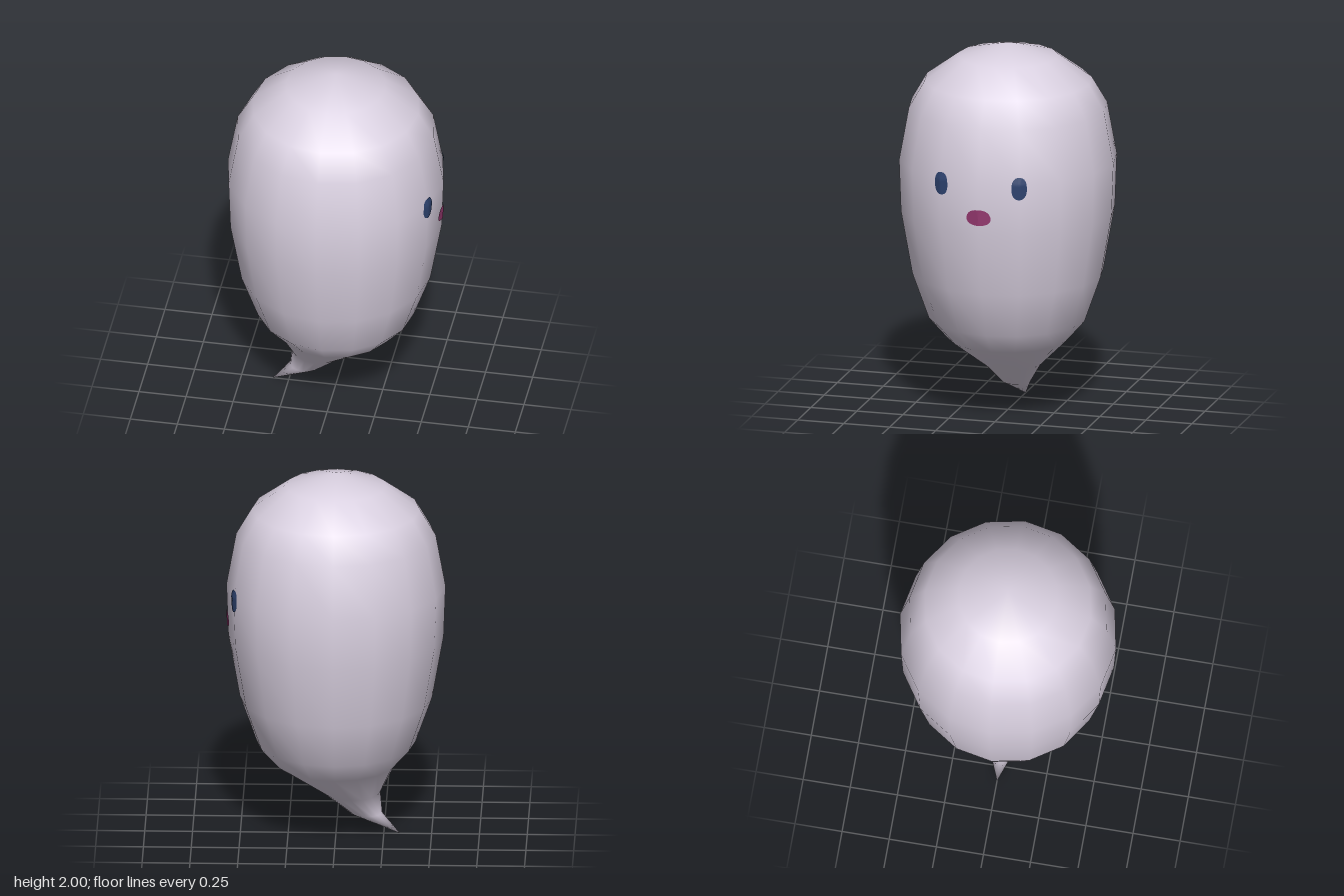
import * as THREE from 'three';

const SIDES = 16;
// Body cross-sections from crown to tail tip: centre x, height, x radius, z radius
const RINGS = [
  [0, 1.93, 0.262, 0.262], [0, 1.8, 0.44, 0.44], [0, 1.66, 0.522, 0.522],
  [0, 1.38, 0.573, 0.573], [0, 1.1, 0.563, 0.563], [0, 0.76, 0.503, 0.503],
  [0, 0.515, 0.416, 0.416], [0, 0.4, 0.315, 0.315], [-0.085, 0.235, 0.147, 0.15],
  [-0.16, 0.12, 0.082, 0.075],
];
const CROWN = [0, 2, 0];
const TAIL_TIP = [-0.335, 0.005, 0];

function bodyGeometry() {
  const pos = [...CROWN];
  const index = [];
  for (const [cx, y, rx, rz] of RINGS) {
    for (let j = 0; j < SIDES; j++) {
      const a = (j / SIDES) * Math.PI * 2;
      pos.push(cx + rx * Math.cos(a), y, rz * Math.sin(a));
    }
  }
  pos.push(...TAIL_TIP);
  const last = RINGS.length - 1;
  const tip = 1 + RINGS.length * SIDES;
  const v = (i, j) => 1 + i * SIDES + (j % SIDES);
  for (let j = 0; j < SIDES; j++) {
    index.push(0, v(0, j + 1), v(0, j));
    for (let i = 0; i < last; i++) {
      index.push(v(i, j), v(i, j + 1), v(i + 1, j));
      index.push(v(i, j + 1), v(i + 1, j + 1), v(i + 1, j));
    }
    index.push(v(last, j), v(last, j + 1), tip);
  }
  const g = new THREE.BufferGeometry();
  g.setAttribute('position', new THREE.Float32BufferAttribute(pos, 3));
  g.setIndex(index);
  g.computeVertexNormals();
  return g;
}

// x of the faceted body surface on the face side (+x)
function surfaceX(y, z) {
  let i = 0;
  while (RINGS[i + 1][1] > y) i++;
  const [, y0, r0] = RINGS[i];
  const [, y1, r1] = RINGS[i + 1];
  const r = r0 + ((r1 - r0) * (y0 - y)) / (y0 - y1);
  const step = (Math.PI * 2) / SIDES;
  const k = Math.floor(Math.asin(Math.abs(z) / r) / step);
  const zA = r * Math.sin(k * step), zB = r * Math.sin((k + 1) * step);
  const t = (Math.abs(z) - zA) / (zB - zA);
  return r * (Math.cos(k * step) * (1 - t) + Math.cos((k + 1) * step) * t);
}

// Thin rounded patch that follows the body surface
function facePatch(name, material, y, z, halfWidth, up, down, power) {
  const g = new THREE.RingGeometry(0.001, 1, 32, 6);
  const p = g.attributes.position;
  for (let i = 0; i < p.count; i++) {
    const a = Math.atan2(p.getY(i), p.getX(i));
    const rad = Math.hypot(p.getX(i), p.getY(i));
    const round = (c) => Math.sign(c) * Math.abs(c) ** (2 / power) * rad;
    const sy = round(Math.sin(a));
    const py = y + sy * (sy > 0 ? up : down);
    const pz = z - round(Math.cos(a)) * halfWidth;
    p.setXYZ(i, surfaceX(py, pz) + 0.005, py, pz);
  }
  g.computeVertexNormals();
  const mesh = new THREE.Mesh(g, material);
  mesh.name = name;
  return mesh;
}

export function createModel() {
  const pale = new THREE.MeshStandardMaterial({ color: 0xd9d0e0, side: THREE.DoubleSide });
  pale.name = 'pale lilac';
  const navy = new THREE.MeshStandardMaterial({ color: 0x2e4370 });
  navy.name = 'navy';
  const plum = new THREE.MeshStandardMaterial({ color: 0x95386f });
  plum.name = 'plum';

  const model = new THREE.Group();
  model.name = 'ghost';
  const body = new THREE.Mesh(bodyGeometry(), pale);
  body.name = 'body';
  model.add(body);

  for (const side of [1, -1]) {
    const name = side > 0 ? 'frontEye' : 'backEye';
    model.add(facePatch(name, navy, 1.36, side * 0.212, 0.038, 0.06, 0.06, 2.4));
  }
  model.add(facePatch('mouth', plum, 1.19, 0, 0.065, 0.05, 0.036, 2.3));
  return model;
}
